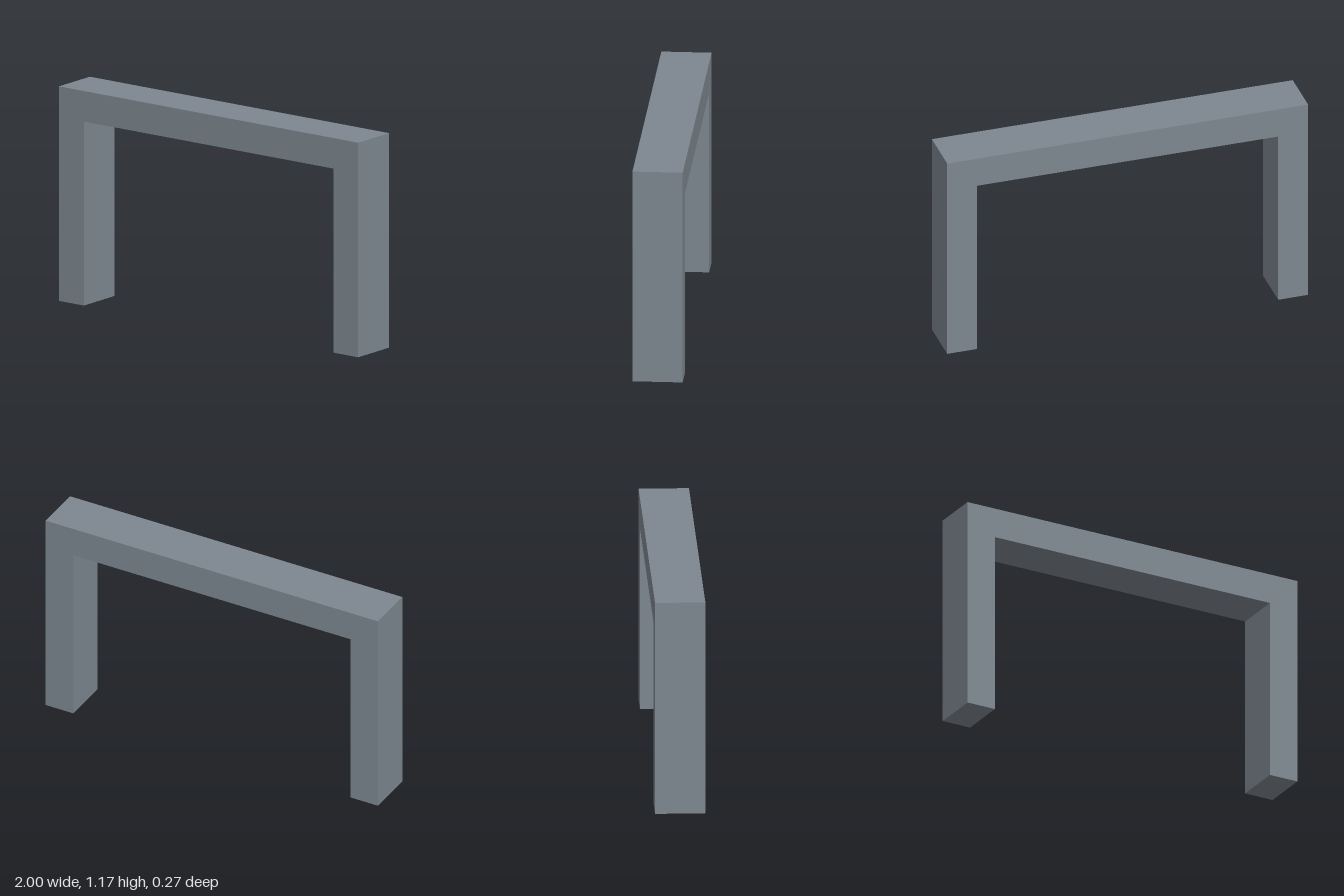
import * as THREE from 'three';

const HALF_WIDTH = 1;
const HEIGHT = 1.167;
const THICKNESS = 0.166;
const DEPTH = 0.266;

export function createModel() {
  const group = new THREE.Group();
  group.name = 'archway';

  // One-piece portal outline: two posts joined by a crossbeam
  const inner = HALF_WIDTH - THICKNESS;
  const underside = HEIGHT - THICKNESS;
  const outline = new THREE.Shape([
    [-HALF_WIDTH, 0], [-inner, 0], [-inner, underside], [inner, underside],
    [inner, 0], [HALF_WIDTH, 0], [HALF_WIDTH, HEIGHT], [-HALF_WIDTH, HEIGHT],
  ].map(([x, y]) => new THREE.Vector2(x, y)));

  // Extrude the outline and centre it front to back
  const geometry = new THREE.ExtrudeGeometry(outline, { depth: DEPTH, bevelEnabled: false });
  geometry.translate(0, 0, -DEPTH / 2);

  // Slate-grey finish
  const frame = new THREE.Mesh(geometry, new THREE.MeshStandardMaterial({ color: 0x7d8790 }));
  frame.name = 'portalFrame';
  group.add(frame);
  return group;
}
